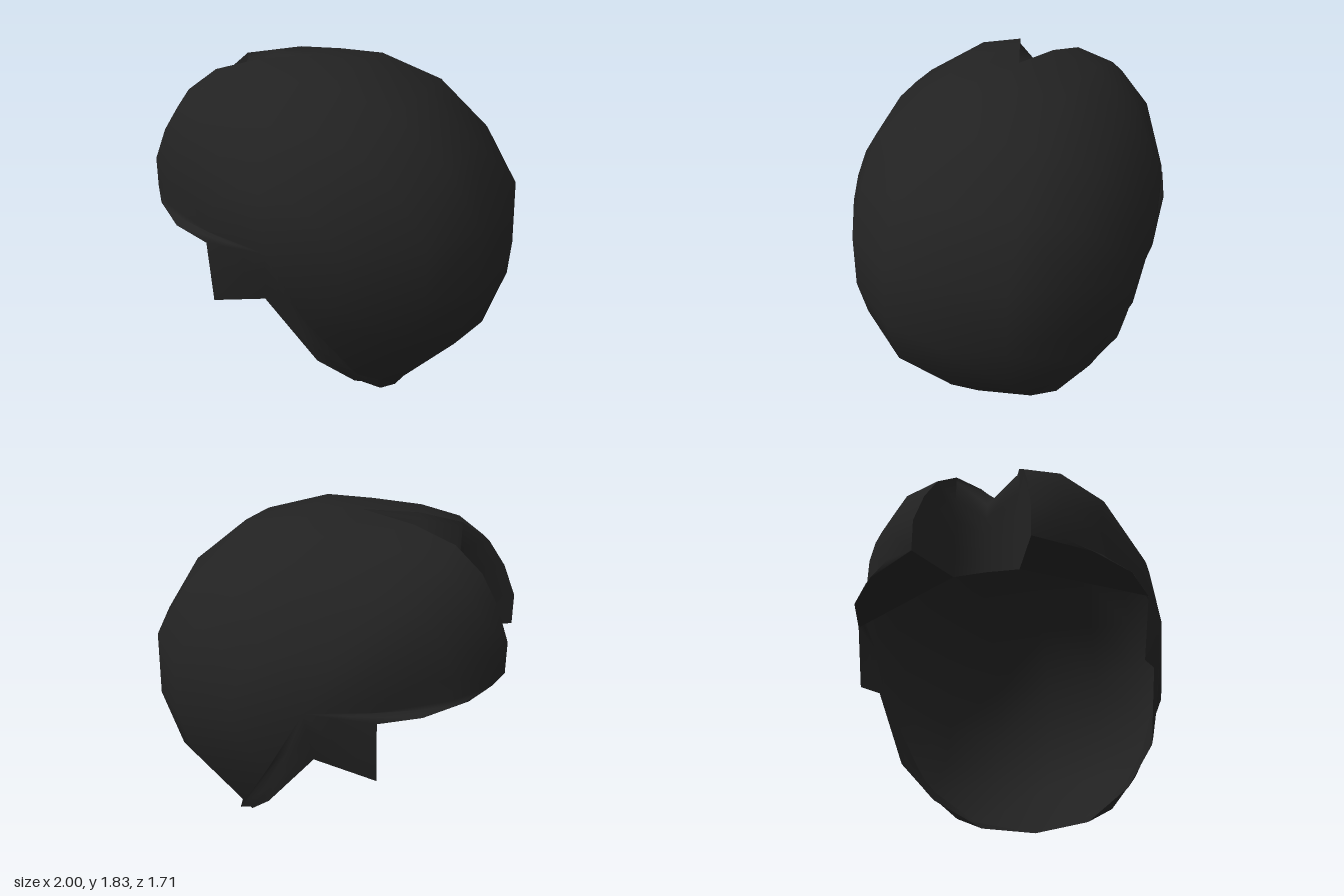
import * as THREE from 'three';
import { mergeVertices } from 'three/addons/utils/BufferGeometryUtils.js';

const material = new THREE.MeshStandardMaterial({ color: 0x222222, side: THREE.DoubleSide });

// Edge of one side of the parting, from the fringe corner up to the crown
const partEdge = [
  [-1, 1.09, 0.31], [-1, 1.27, 0.31], [-0.93, 1.46, 0.28], [-0.84, 1.61, 0.24],
  [-0.69, 1.73, 0.18], [-0.46, 1.795, 0.1], [-0.17, 1.825, 0],
];
// Middle line of the skull, from the crown to the nape
const midline = [
  [0.11, 1.83, 0], [0.49, 1.715, 0], [0.79, 1.46, 0], [0.99, 1.13, 0],
  [1, 0.73, 0], [0.88, 0.38, 0], [0.51, 0, 0],
];
// Hem from the nape past the ear to the sideburn, then along the fringe
const sideHem = [
  [0.48, 0.04, 0.32], [0.34, 0.19, 0.58], [0.19, 0.38, 0.74], [-0.08, 0.73, 0.8], [-0.41, 0.63, 0.78],
];
const fringeHem = [[-0.41, 1.0, 0.82], [-0.63, 1.03, 0.76], [-0.84, 1.055, 0.59]];
// Inner corner and bottom of the parting, row by row with partEdge
const partCorner = [
  [-0.69, 1.09, 0.18], [-0.69, 1.26, 0.18], [-0.69, 1.44, 0.18], [-0.69, 1.58, 0.18],
  [-0.69, 1.7, 0.18], [-0.46, 1.77, 0.08], [-0.17, 1.825, 0],
];
const partValley = [
  [-0.7, 1.09, 0], [-0.7, 1.21, 0], [-0.7, 1.32, 0], [-0.7, 1.42, 0],
  [-0.69, 1.52, 0], [-0.45, 1.71, 0], [-0.17, 1.825, 0],
];

// Joins rows of points into quads on both sides of z = 0; closed rows wrap round
function mirroredSurface(name, rows, closed) {
  const positions = [], index = [];
  const n = rows[0].length;
  for (const side of [1, -1]) {
    const base = positions.length / 3;
    for (const row of rows) for (const [x, y, z] of row) positions.push(x, y, z * side);
    const tri = (a, b, c) => (side > 0 ? index.push(a, b, c) : index.push(a, c, b));
    for (let r = 0; r < rows.length - 1; r++) {
      for (let i = 0; i < (closed ? n : n - 1); i++) {
        const j = (i + 1) % n;
        const a = base + r * n + i, b = base + r * n + j;
        const c = a + n, d = b + n;
        tri(a, c, d);
        tri(a, d, b);
      }
    }
  }
  let geometry = new THREE.BufferGeometry();
  geometry.setAttribute('position', new THREE.Float32BufferAttribute(positions, 3));
  geometry.setIndex(index);
  geometry = mergeVertices(geometry, 1e-4);
  geometry.computeVertexNormals();
  const mesh = new THREE.Mesh(geometry, material);
  mesh.name = name;
  return mesh;
}

export function createModel() {
  const group = new THREE.Group();
  group.name = 'hair';

  // Rounded shell: rings swell from the widest point at the side out to the boundary,
  // full towards the midline and flatter towards the hem
  const [px, py, pz] = [-0.04, 1.03, 0.855];
  const boundary = [...partEdge, ...midline, ...sideHem, ...fringeHem];
  const rings = [1, 0.94, 0.75, 0.38, 0].map((s) => boundary.map(([x, y, z]) => {
    const power = 2.22 - 1.45 * z;
    const bulge = Math.pow(1 - Math.pow(s, power), 1 / power);
    return [px + (x - px) * s, py + (y - py) * s, z + (pz - z) * bulge];
  }));
  group.add(mirroredSurface('hairShell', rings, true));

  // Recessed parting with the inner walls of the fringe
  group.add(mirroredSurface('parting', [partValley, partCorner, partEdge], false));

  // Underside of the fringe, fanned from the inner corner to its hem
  const outer = [partEdge[0], ...[...fringeHem].reverse()];
  const inner = outer.map(() => partCorner[0]);
  group.add(mirroredSurface('fringeUnderside', [outer, inner], false));

  return group;
}
